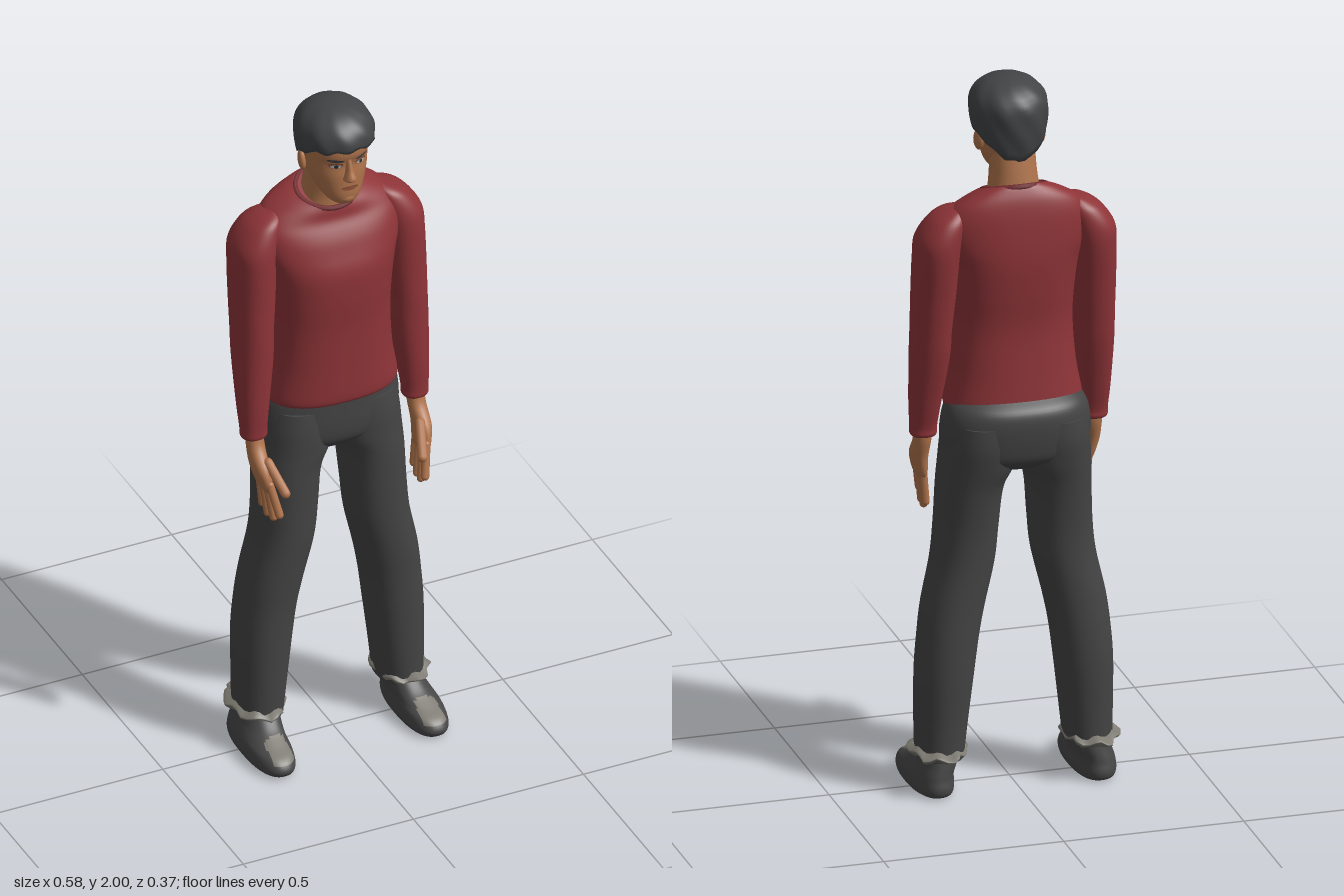
import * as THREE from 'three';

const mat = (name, color) => Object.assign(new THREE.MeshStandardMaterial({ color }), { name });
const { lerp, smoothstep } = THREE.MathUtils;

// Closed-ring surface: point(i, theta) for each row, rows running upward; pick() chooses a second material
function surface(rows, cols, point, pick) {
  const pos = [], first = [], second = [];
  for (let i = 0; i < rows; i++)
    for (let j = 0; j < cols; j++) pos.push(...point(i, (j / cols) * Math.PI * 2).toArray());
  for (let i = 0; i < rows - 1; i++)
    for (let j = 0; j < cols; j++) {
      const k = (j + 1) % cols, a = i * cols + j, b = i * cols + k;
      const mid = new THREE.Vector3().fromArray(pos, a * 3);
      (pick && pick(mid) ? second : first).push(a, b, a + cols, b, b + cols, a + cols);
    }
  const g = new THREE.BufferGeometry();
  g.setAttribute('position', new THREE.Float32BufferAttribute(pos, 3));
  g.setIndex([...first, ...second]);
  if (pick) {
    g.addGroup(0, first.length, 0);
    g.addGroup(first.length, second.length, 1);
  }
  g.computeVertexNormals();
  return g;
}

// Catmull-Rom resampling of cross-section tables
function resample(sections, steps = 5) {
  const out = [], at = i => sections[Math.max(0, Math.min(sections.length - 1, i))];
  for (let i = 0; i < sections.length - 1; i++)
    for (let s = 0; s < steps; s++) {
      const t = s / steps;
      out.push(at(i).map((p1, c) => {
        const p0 = at(i - 1)[c], p2 = at(i + 1)[c], p3 = at(i + 2)[c];
        return p1 + 0.5 * t * (p2 - p0 + t * (2 * p0 - 5 * p1 + 4 * p2 - p3 + t * (3 * (p1 - p2) + p3 - p0)));
      }));
    }
  out.push(at(sections.length - 1));
  return out;
}

const sup = (v, n) => Math.sign(v) * Math.pow(Math.abs(v), 2 / n);

// Capped loft through sections [y, centreX, halfWidth, zFront, zBack]
function loft(sections, { n = 2.2, side = 1, cols = 36, warp, pick } = {}) {
  const r = resample(sections), last = r.length - 1;
  return surface(r.length + 4, cols, (i, t) => {
    const [y, cx, rx, zf, zb] = r[Math.max(0, Math.min(last, i - 2))];
    const k = i === 0 || i === last + 4 ? 0 : 1; // end rows close the caps
    const p = new THREE.Vector3(side * cx + k * rx * sup(Math.sin(t), n), y,
      (zf + zb) / 2 + k * (zf - zb) / 2 * sup(Math.cos(t), n));
    if (warp) warp(p, t);
    return p;
  }, pick);
}

export function createModel() {
  const root = new THREE.Group();
  root.name = 'standingMan';
  const skin = mat('skin', 0xb0744c), hairMat = mat('hair', 0x424446), red = mat('sweaterRed', 0x8e3438);
  const darkRed = mat('collarRed', 0x6e272b), charcoal = mat('trousers', 0x444445);
  const shoeMat = mat('shoe', 0x474747), grey = mat('paleGrey', 0x7d7b72);
  const white = mat('eyeWhite', 0xa9adb0), dark = mat('iris', 0x2a2c30), lip = mat('lips', 0x8a5038);
  const add = (name, geo, material, parent = root) => {
    const m = new THREE.Mesh(geo, material);
    m.name = name;
    parent.add(m);
    return m;
  };

  // Sweater body, with the neckline tilted down at the front
  const tilt = p => { p.y -= (p.z + 0.04) * 0.35 * smoothstep(p.y, 1.58, 1.71); };
  add('sweaterBody', loft([
    [1.09, 0, 0.186, 0.094, -0.15], [1.11, 0, 0.187, 0.1, -0.152], [1.2, 0, 0.171, 0.1, -0.145],
    [1.32, 0, 0.163, 0.1, -0.138], [1.42, 0, 0.168, 0.105, -0.147], [1.5, 0, 0.18, 0.103, -0.153],
    [1.56, 0, 0.198, 0.083, -0.152], [1.62, 0, 0.2, 0.058, -0.146], [1.66, 0, 0.175, 0.04, -0.136],
    [1.69, 0, 0.125, 0.034, -0.122], [1.705, 0, 0.088, 0.03, -0.113],
  ], { n: 2.4, cols: 48, warp: tilt }), red);
  const collar = add('collar', new THREE.TorusGeometry(0.08, 0.008, 8, 40), darkRed);
  collar.rotation.x = Math.PI / 2 + 0.34;
  collar.position.set(0, 1.7, -0.042);
  collar.scale.set(1.06, 0.95, 1);

  // Trouser seat
  add('trouserSeat', loft([
    [0.925, 0, 0.1, 0.045, -0.13], [0.955, 0, 0.185, 0.07, -0.168], [1.0, 0, 0.203, 0.078, -0.181],
    [1.06, 0, 0.2, 0.078, -0.186], [1.1, 0, 0.187, 0.076, -0.178], [1.125, 0, 0.165, 0.07, -0.15],
  ], { n: 2.4, cols: 48 }), charcoal);

  const capsule = (name, a, b, r, parent) => {
    const p = new THREE.Vector3(...a), q = new THREE.Vector3(...b), d = q.clone().sub(p);
    const m = add(name, new THREE.CapsuleGeometry(r, d.length() - r, 4, 10), skin, parent);
    m.position.copy(p).add(q).multiplyScalar(0.5);
    m.quaternion.setFromUnitVectors(new THREE.Vector3(0, 1, 0), d.normalize());
  };

  for (const side of [1, -1]) {
    const label = side > 0 ? 'left' : 'right';
    // Sleeve with a slightly raised cuff
    add(label + 'Sleeve', loft([
      [1.0, 0.237, 0.033, 0.038, -0.024], [1.008, 0.237, 0.037, 0.042, -0.028], [1.03, 0.237, 0.037, 0.042, -0.03],
      [1.1, 0.235, 0.043, 0.045, -0.05], [1.235, 0.228, 0.053, 0.045, -0.085], [1.32, 0.226, 0.054, 0.045, -0.1],
      [1.42, 0.222, 0.058, 0.042, -0.115], [1.52, 0.218, 0.06, 0.04, -0.13], [1.58, 0.211, 0.062, 0.034, -0.132],
      [1.63, 0.19, 0.05, 0.018, -0.12], [1.655, 0.172, 0.032, 0, -0.1], [1.668, 0.155, 0.012, -0.03, -0.08],
    ], { side }), red);

    // Hand
    const hand = new THREE.Group();
    hand.name = label + 'Hand';
    root.add(hand);
    add('palm', loft([
      [0.865, 0.229, 0.012, 0.1, 0.022], [0.885, 0.232, 0.018, 0.104, 0.012], [0.93, 0.238, 0.023, 0.088, 0.002],
      [0.98, 0.237, 0.024, 0.048, -0.012], [1.02, 0.237, 0.024, 0.034, -0.016],
    ], { side, cols: 20 }), skin, hand);
    [[0.093, 0.122, 0.8], [0.072, 0.09, 0.776], [0.05, 0.06, 0.774], [0.03, 0.033, 0.79]].forEach(([z0, z1, y], i) =>
      capsule('finger' + (i + 1), [side * 0.231, 0.895, z0], [side * (0.213 + i * 0.003), y, z1], 0.0115, hand));
    capsule('thumb', [side * 0.225, 0.95, 0.065], [side * 0.2, 0.872, 0.136], 0.0135, hand);

    // Trouser leg
    add(label + 'TrouserLeg', loft([
      [0.1, 0.206, 0.064, 0.048, -0.118], [0.2, 0.201, 0.07, 0.052, -0.122], [0.335, 0.193, 0.078, 0.055, -0.13],
      [0.44, 0.182, 0.081, 0.057, -0.13], [0.53, 0.167, 0.084, 0.063, -0.127], [0.65, 0.14, 0.085, 0.07, -0.125],
      [0.75, 0.13, 0.085, 0.073, -0.13], [0.865, 0.122, 0.088, 0.075, -0.147], [0.93, 0.106, 0.1, 0.076, -0.163],
      [1.0, 0.1, 0.1, 0.076, -0.177], [1.06, 0.095, 0.095, 0.07, -0.178],
    ], { side }), charcoal);

    // Ragged trouser cuff
    add(label + 'RaggedCuff', loft([
      [0.1, 0.208, 0.06, 0.045, -0.115], [0.113, 0.212, 0.074, 0.065, -0.143],
      [0.12, 0.212, 0.074, 0.065, -0.143], [0.13, 0.208, 0.062, 0.045, -0.115],
    ], { side, n: 2, cols: 30, warp: (p, t) => {
      const k = 1 + 0.06 * Math.sin(6 * t) + 0.04 * Math.sin(11 * t + 1);
      p.x = side * 0.21 + (p.x - side * 0.21) * k;
      p.z = -0.04 + (p.z + 0.04) * k;
      p.y += 0.006 * Math.sin(7 * t + side);
    } }), grey);

    // Shoe with a pale panel over the toes
    add(label + 'Shoe', loft([
      [0, 0.224, 0.05, 0.165, -0.11], [0.008, 0.225, 0.058, 0.18, -0.122], [0.025, 0.225, 0.061, 0.186, -0.126],
      [0.048, 0.224, 0.058, 0.168, -0.122], [0.064, 0.221, 0.054, 0.125, -0.12],
      [0.085, 0.214, 0.051, 0.08, -0.117], [0.115, 0.208, 0.048, 0.045, -0.112],
    ], { side, n: 2.4, cols: 60,
      pick: p => Math.abs(p.x - side * 0.222) < 0.031 && p.z > 0.095 && p.y > 0.038 && p.y < 0.08 }), [shoeMat, grey]);
  }

  // Head and neck
  const headSections = [
    [1.724, 0, 0.022, 0.088, 0.03], [1.732, 0, 0.04, 0.098, 0], [1.755, 0, 0.058, 0.104, -0.04],
    [1.79, 0, 0.073, 0.104, -0.07], [1.82, 0, 0.081, 0.103, -0.08], [1.855, 0, 0.086, 0.1, -0.088],
    [1.885, 0, 0.088, 0.108, -0.094], [1.92, 0, 0.088, 0.104, -0.094], [1.96, 0, 0.066, 0.075, -0.07],
  ];
  const head = new THREE.Group();
  head.name = 'head';
  root.add(head);
  add('face', loft(headSections), skin, head);
  add('neck', loft([
    [1.64, 0, 0.078, 0.03, -0.108], [1.7, 0, 0.069, 0.026, -0.105], [1.75, 0, 0.063, 0.03, -0.097], [1.81, 0, 0.06, 0.03, -0.085],
  ]), skin, root);
  add('nose', loft([
    [1.803, 0, 0.012, 0.11, 0.07], [1.811, 0, 0.019, 0.125, 0.07], [1.82, 0, 0.016, 0.127, 0.07],
    [1.84, 0, 0.011, 0.117, 0.07], [1.872, 0, 0.008, 0.106, 0.07],
  ], { cols: 20 }), skin, head);
  add('chin', new THREE.SphereGeometry(0.02, 16, 12).scale(1.1, 0.8, 0.7).translate(0, 1.746, 0.091), skin, head);

  // Thin facial plates laid onto the face surface
  const rows = resample(headSections);
  const faceZ = (x, y) => {
    const i = Math.max(1, rows.findIndex(r => r[0] >= y)), a = rows[i - 1], b = rows[i];
    const [, , rx, zf, zb] = a.map((v, c) => lerp(v, b[c], (y - a[0]) / (b[0] - a[0])));
    return (zf + zb) / 2 + (zf - zb) / 2 * Math.pow(1 - Math.pow(Math.min(0.99, Math.abs(x) / rx), 2.2), 1 / 2.2);
  };
  const plate = (name, x, y, rx, ry, slope, lift, material) => {
    const g = new THREE.CircleGeometry(1, 20).scale(rx, ry, 1).rotateZ(slope).translate(x, y, 0);
    const p = g.attributes.position;
    for (let i = 0; i < p.count; i++) p.setZ(i, faceZ(p.getX(i), p.getY(i)) + lift);
    g.computeVertexNormals();
    add(name, g, material, head);
  };
  for (const s of [1, -1]) {
    plate('eyeSocket', s * 0.036, 1.856, 0.019, 0.009, 0, 0.002, lip);
    plate('eyeWhite', s * 0.036, 1.854, 0.014, 0.0055, 0, 0.003, white);
    plate('iris', s * 0.036, 1.854, 0.0055, 0.0055, 0, 0.004, dark);
    plate('eyebrow', s * 0.038, 1.873, 0.022, 0.005, s * 0.12, 0.003, hairMat);
    const ear = add('ear', new THREE.SphereGeometry(0.028, 16, 12).scale(0.42, 1.1, 0.7), skin, head);
    ear.position.set(s * 0.087, 1.832, -0.008);
    ear.rotation.set(-0.15, s * 0.3, 0);
  }
  plate('lips', 0, 1.783, 0.025, 0.0065, 0, 0.004, lip);

  // Short hair: a dome whose lower edge falls from fringe to nape
  const edge = resample([1.912, 1.908, 1.9, 1.868, 1.842, 1.805, 1.787].map(v => [v]), 10);
  add('hair', surface(18, 64, (i, t) => {
    const u = 1 - Math.abs(t / Math.PI - 1);
    const low = edge[Math.round(u * 60)][0] + 0.004 * Math.sin(11 * t);
    const y = lerp(low, 2, Math.sin(Math.max(0, i - 1) / 16 * Math.PI / 2));
    let f = y < 1.92 ? 1 - 0.2 * ((1.92 - y) / 0.14) ** 2
      : Math.pow(Math.max(0, 1 - ((y - 1.92) / 0.08) ** 2.1), 1 / 2.1);
    f *= i === 0 ? 0.78 : 1 + 0.012 * Math.sin(9 * t + y * 60); // tucked rim, faint locks
    return new THREE.Vector3(0.104 * f * sup(Math.sin(t), 2.1), y, 0.009 + 0.121 * f * sup(Math.cos(t), 2.1));
  }), hairMat, head);

  return root;
}
